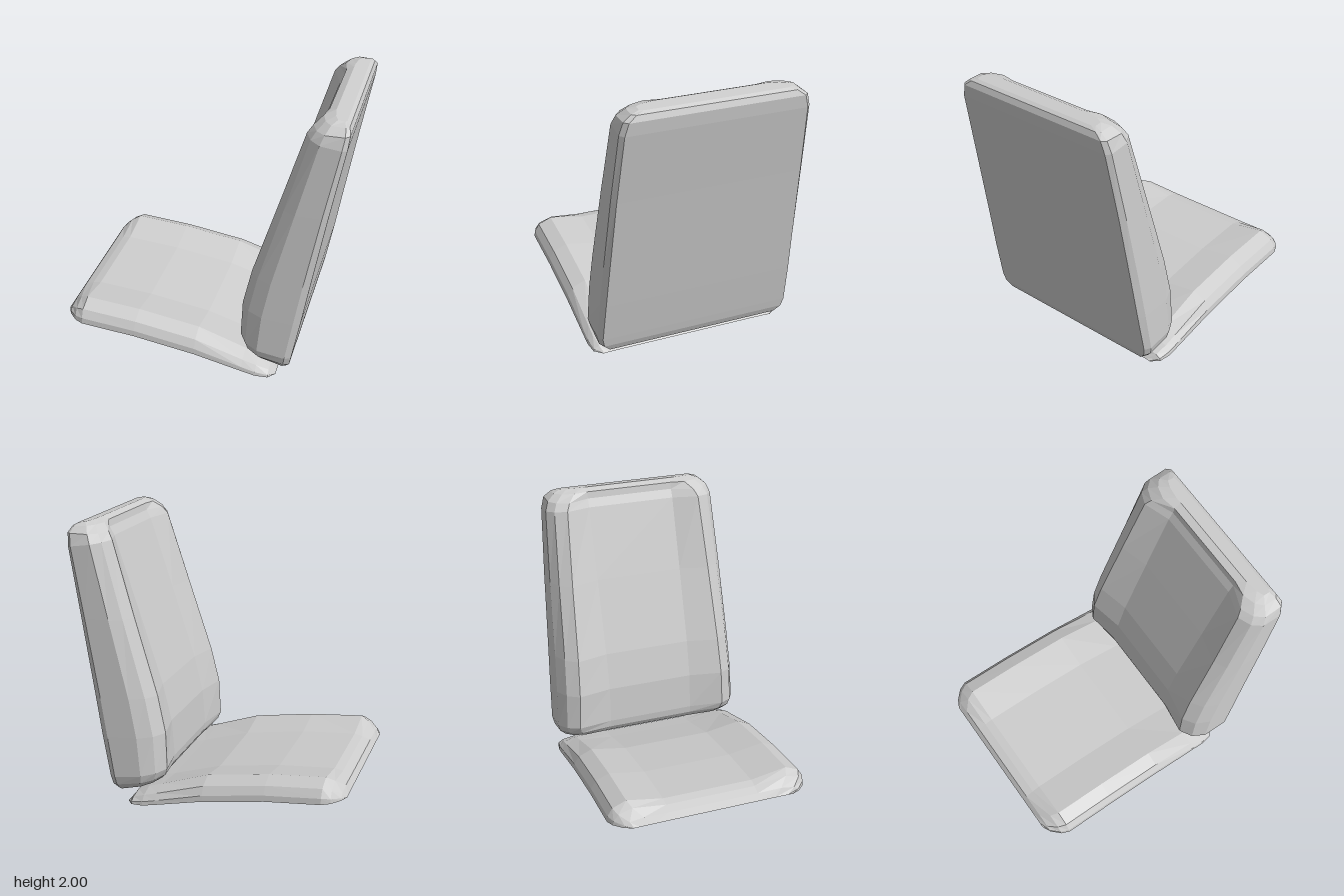
import * as THREE from 'three';

// Lofts a skin through rows. Each row is a half section (z >= 0), mirrored over z = 0.
// A closed loft also gets its mirrored seam and both ends filled in.
function loft(halfRows, closed) {
  const m = halfRows[0].length, n = 2 * m;
  const pos = [], idx = [];
  for (const half of halfRows) {
    const loop = [...half, ...half.map(([x, y, z]) => [x, y, -z]).reverse()];
    loop.forEach((p) => pos.push(...p));
  }
  for (let i = 0; i < halfRows.length - 1; i++) {
    for (let j = 0; j < (closed ? n : n - 1); j++) {
      const a = i * n + j, b = i * n + (j + 1) % n;
      idx.push(a, a + n, b, b, a + n, b + n);
    }
  }
  if (closed) {
    // End caps, as strips between mirrored points
    const last = (halfRows.length - 1) * n;
    for (let k = 0; k < m - 1; k++) {
      const a = k, b = k + 1, c = n - 2 - k, d = n - 1 - k;
      idx.push(a, b, c, a, c, d);
      idx.push(last + a, last + c, last + b, last + a, last + d, last + c);
    }
  }
  const g = new THREE.BufferGeometry();
  g.setAttribute('position', new THREE.Float32BufferAttribute(pos, 3));
  g.setIndex(idx);
  const flat = g.toNonIndexed();
  flat.computeVertexNormals();
  return flat;
}

export function createModel() {
  const model = new THREE.Group();
  const grey = new THREE.MeshStandardMaterial({ color: 0xcccccc });
  grey.name = 'light grey';
  grey.flatShading = true;
  grey.side = THREE.DoubleSide;

  // Backrest rows, bottom to top: front x, y, rear x, y, half width, hollow depth
  const backRows = [
    [0.45, 0.115, 0.63, 0.065, 0.60, 0],
    [0.37, 0.16, 0.665, 0.085, 0.67, 0.05],
    [0.33, 0.205, 0.687, 0.135, 0.715, 0.08],
    [0.31, 0.26, 0.70, 0.20, 0.73, 0.11],
    [0.32, 0.53, 0.755, 0.50, 0.72, 0.12],
    [0.38, 0.80, 0.805, 0.80, 0.707, 0.13],
    [0.55, 1.35, 0.90, 1.35, 0.683, 0.17],
    [0.71, 1.88, 0.99, 1.84, 0.655, 0.24],
    [0.745, 1.93, 1.0, 1.93, 0.63, 0.25],
    [0.80, 1.98, 0.985, 1.97, 0.575, 0.1],
    [0.87, 2.0, 0.96, 1.985, 0.52, 0],
  ].map(([fx, fy, rx, ry, w, hollow]) => [
    [0, w - 0.028], [0.11, w], [0.62, w], [0.86, w - 0.05], [1, w - 0.14], [1 - hollow, 0.33],
  ].map(([u, z]) => [rx + (fx - rx) * u, ry + (fy - ry) * u, z]));
  const backrest = new THREE.Mesh(loft(backRows, true), grey);
  backrest.name = 'backrest';

  // Seat shell rows, front edge to rear edge: x, rim y, bolster y, middle y, half width
  const seatRows = [
    [-1, 0.235, 0.237, 0.237, 0.59],
    [-0.97, 0.232, 0.285, 0.282, 0.65],
    [-0.91, 0.227, 0.335, 0.305, 0.71],
    [-0.85, 0.222, 0.365, 0.318, 0.735],
    [-0.45, 0.185, 0.33, 0.285, 0.735],
    [0, 0.115, 0.26, 0.215, 0.735],
    [0.35, 0.037, 0.14, 0.108, 0.735],
    [0.45, 0.016, 0.108, 0.08, 0.735],
    [0.54, 0.008, 0.065, 0.055, 0.72],
    [0.585, 0.002, 0.006, 0.006, 0.66],
  ].map(([x, rim, top, middle, w]) => [
    [x, rim, w],
    [x, rim + (top - rim) * 0.3, w - 0.005],
    [x, rim + (top - rim) * 0.7, w - 0.04],
    [x, top, w - 0.14],
    [x, middle, 0.33],
  ]);
  const seat = new THREE.Mesh(loft(seatRows, false), grey);
  seat.name = 'seatShell';

  model.add(backrest, seat);
  return model;
}
